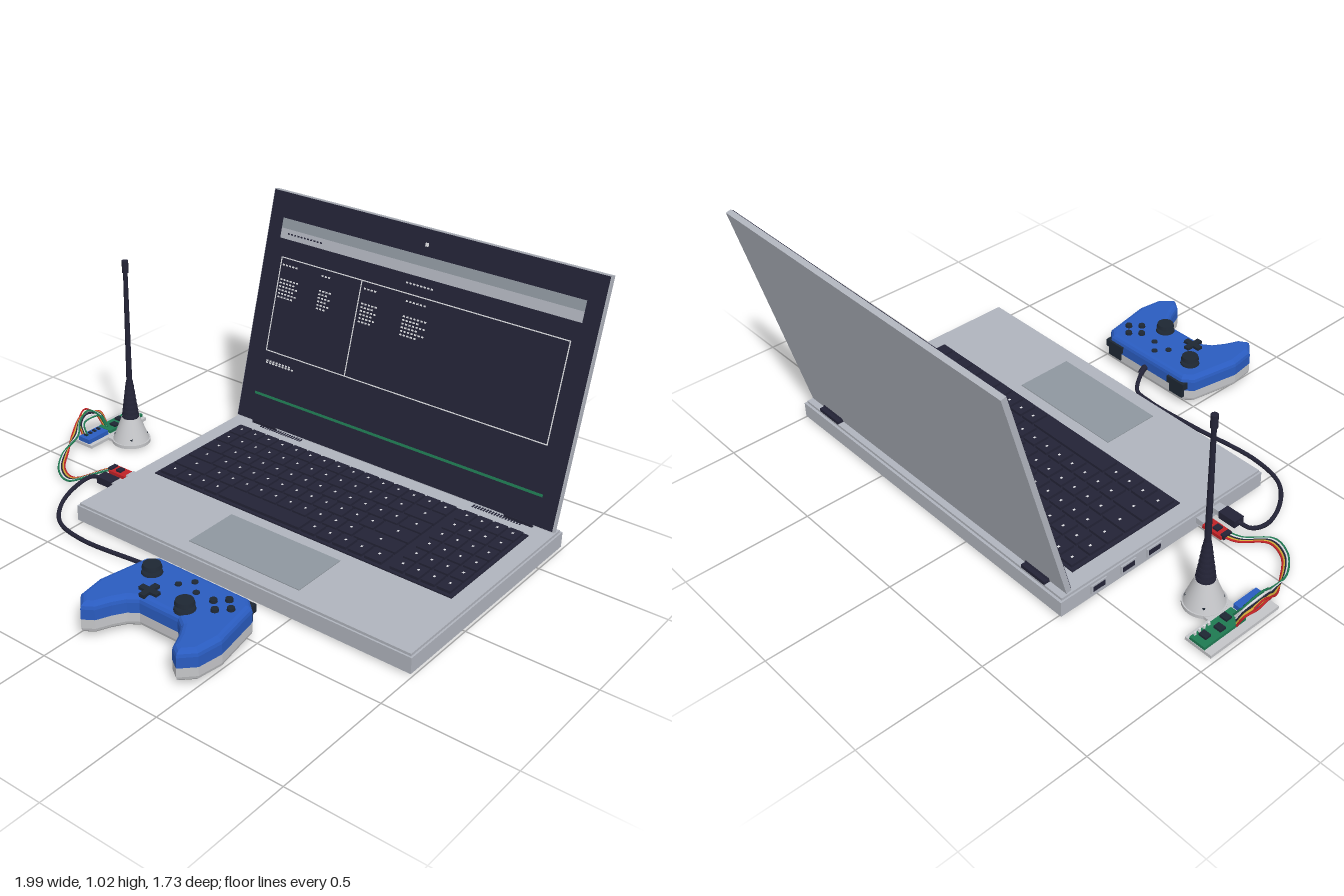
import * as THREE from 'three';

const mat = (name, color, side = THREE.FrontSide) => {
  const m = new THREE.MeshStandardMaterial({ color, side });
  m.name = name;
  return m;
};

export function createModel() {
  const M = {
    silver: mat('silver', 0xb0b4bd), navy: mat('dark navy', 0x232336), pad: mat('touchpad grey', 0x8f979f),
    white: mat('white', 0xdcdde0), green: mat('green', 0x1f7a52), blue: mat('blue', 0x2a5cc0),
    red: mat('red', 0xc02226), yellow: mat('yellow', 0xd0a838), slate: mat('slate', 0x1e2733),
    grey: mat('light grey', 0xc4c5c8),
  };
  const root = new THREE.Group();
  root.name = 'laptopDesk';
  const group = (name, parent = root) => {
    const g = new THREE.Group();
    g.name = name;
    parent.add(g);
    return g;
  };
  const add = (parent, name, geo, m, x = 0, y = 0, z = 0) => {
    const mesh = new THREE.Mesh(geo, m);
    mesh.name = name;
    mesh.position.set(x, y, z);
    parent.add(mesh);
    return mesh;
  };
  // Box given by its limits on each axis
  const box = (parent, name, m, x0, x1, y0, y1, z0, z1) =>
    add(parent, name, new THREE.BoxGeometry(x1 - x0, y1 - y0, z1 - z0), m, (x0 + x1) / 2, (y0 + y1) / 2, (z0 + z1) / 2);
  const cyl = (parent, name, m, rTop, rBottom, x, y0, y1, z, sides = 24) =>
    add(parent, name, new THREE.CylinderGeometry(rTop, rBottom, y1 - y0, sides), m, x, (y0 + y1) / 2, z);
  const tube = (parent, name, m, pts, r, n = 80) =>
    add(parent, name, new THREE.TubeGeometry(new THREE.CatmullRomCurve3(pts.map(p => new THREE.Vector3(...p))), n, r, 8), m);

  // Laptop base
  const laptop = group('laptop');
  box(laptop, 'baseTray', M.silver, -0.515, 0.995, 0.007, 0.07, -0.67, 0.325);
  box(laptop, 'deck', M.silver, -0.508, 0.988, 0.07, 0.08, -0.66, 0.318);
  box(laptop, 'touchpad', M.pad, -0.01, 0.49, 0.079, 0.083, 0.02, 0.26);
  box(laptop, 'keyboardTray', M.navy, -0.44, 0.92, 0.079, 0.085, -0.55, 0.03 - 0.06);

  // Keyboard rows: relative key widths, then a four-column number pad
  const keys = group('keyboard', laptop);
  const rows = [
    Array(15).fill(1), [...Array(13).fill(1), 2], [1.5, ...Array(12).fill(1), 1.5],
    [1.8, ...Array(11).fill(1), 2.2], [2.3, ...Array(10).fill(1), 2.7], [1.2, 1, 1, 1, 5.6, 1, 1, 1, 1, 1.2],
  ];
  const key = (x0, x1, z0, z1) => {
    const g = 0.005;
    box(keys, 'key', M.navy, x0 + g, x1 - g, 0.085, 0.096, z0 + g, z1 - g);
    if (x1 - x0 < 0.3) box(keys, 'keyMark', M.white, (x0 + x1) / 2 - 0.004, (x0 + x1) / 2 + 0.004, 0.096, 0.0965, (z0 + z1) / 2 - 0.012, (z0 + z1) / 2 - 0.002);
  };
  rows.forEach((row, r) => {
    const z0 = -0.545 + r * 0.0842, unit = 1.055 / row.reduce((a, b) => a + b);
    let x = -0.43;
    for (const w of row) {
      key(x, x + w * unit, z0, z0 + 0.0842);
      x += w * unit;
    }
    for (let c = 0; c < 4; c++) key(0.65 + c * 0.065, 0.715 + c * 0.065, z0, z0 + 0.0842);
  });

  // Vents and hinges, one pair
  for (const s of [-1, 1]) {
    const cx = 0.24 + s * 0.51;
    for (let i = 0; i < 18; i++) box(laptop, 'ventSlot', M.navy, cx - 0.1 + i * 0.0118, cx - 0.094 + i * 0.0118, 0.079, 0.082, -0.618, -0.598);
    const hx = 0.24 + s * 0.6;
    const hinge = add(laptop, 'hinge', new THREE.CylinderGeometry(0.014, 0.014, 0.12, 16), M.navy, hx, 0.088, -0.63);
    hinge.rotation.z = Math.PI / 2;
    box(laptop, 'hingePlate', M.navy, hx - 0.06, hx + 0.06, 0.078, 0.092, -0.66, -0.61);
  }
  // Ports on the side
  for (const z of [-0.5, -0.36, -0.235]) {
    box(laptop, 'portRim', M.silver, -0.52, -0.514, 0.025, 0.06, z - 0.036, z + 0.036);
    box(laptop, 'portSlot', M.navy, -0.522, -0.519, 0.032, 0.053, z - 0.028, z + 0.028);
  }

  // Lid, tilted back
  const lid = group('lid', laptop);
  lid.position.set(0, 0.088, -0.612);
  lid.rotation.x = -0.2526;
  box(lid, 'lidShell', M.silver, -0.505, 0.985, 0, 0.962, -0.024, -0.002);
  box(lid, 'screen', M.navy, -0.5, 0.98, 0.004, 0.958, -0.002, 0.002);
  // Screen details are given by their upright height
  const k = 1 / Math.cos(0.2526);
  const plate = (name, m, x0, x1, y0, y1, t = 0.004) =>
    box(lid, name, m, x0, x1, (y0 - 0.088) * k, (y1 - 0.088) * k, 0.001, t);
  plate('titleBar', M.pad, -0.435, 0.915, 0.878, 0.917);
  plate('menuBar', M.silver, -0.435, 0.915, 0.838, 0.878);
  plate('statusLine', M.green, -0.43, 0.915, 0.201, 0.211);
  plate('webcam', M.white, 0.232, 0.246, 0.952, 0.966);
  for (const y of [0.388, 0.766]) plate('frameEdge', M.white, -0.41, 0.89, y - 0.002, y + 0.002);
  for (const x of [-0.41, -0.016, 0.888]) plate('frameEdge', M.white, x - 0.002, x + 0.002, 0.388, 0.766);
  // Rows of short dashes on the screen
  const dashes = (x, y, length, m = M.white) => {
    for (let i = 0; i * 0.016 < length; i++)
      plate('dash', m, x + i * 0.016, x + i * 0.016 + 0.009, y - 0.003, y + 0.003, 0.0045);
  };
  dashes(-0.4, 0.86, 0.17, M.navy);
  dashes(0.18, 0.805, 0.12);
  dashes(-0.4, 0.348, 0.12);
  dashes(-0.4, 0.34, 0.14);
  for (const [x, w] of [[-0.4, 0.09], [-0.205, 0.06], [0, 0.07], [0.195, 0.1]]) {
    dashes(x, 0.738, w * 0.8);
    for (let i = 0; i < 6; i++) dashes(x, 0.68 - i * 0.014, w * (i % 2 ? 0.75 : 1));
  }

  // Gamepad: half outline mirrored around x = 0.24
  const pad = group('gamepad');
  const half = [[0, 0.465], [0.2, 0.465], [0.24, 0.5], [0.276, 0.7], [0.262, 0.8], [0.212, 0.852], [0.172, 0.825],
    [0.148, 0.77], [0.12, 0.725], [0.085, 0.7]];
  const outline = new THREE.Shape([...half, ...half.slice(1).reverse().map(([x, z]) => [-x, z])]
    .map(([x, z]) => new THREE.Vector2(0.24 + x, -z)));
  const shell = (name, m, y0, y1, bevel) => {
    const geo = new THREE.ExtrudeGeometry(outline, {
      depth: y1 - y0, bevelEnabled: true, bevelThickness: bevel, bevelSize: 0.022, bevelOffset: -0.022, bevelSegments: 3,
    });
    geo.rotateX(-Math.PI / 2);
    add(pad, name, geo, m, 0, y0, 0);
  };
  shell('upperShell', M.blue, 0.075, 0.115, 0.024);
  shell('lowerShell', M.grey, 0.04, 0.075, 0.022);
  for (const s of [-1, 1]) {
    box(pad, 'bumper', M.slate, 0.24 + s * 0.175 - 0.045, 0.24 + s * 0.175 + 0.045, 0.085, 0.115, 0.455, 0.492);
    box(pad, 'trigger', M.slate, 0.24 + s * 0.175 - 0.035, 0.24 + s * 0.175 + 0.035, 0.045, 0.085, 0.46, 0.49);
  }
  for (const [x, z] of [[0.085, 0.56], [0.315, 0.652]]) {
    cyl(pad, 'stickCollar', M.slate, 0.036, 0.04, x, 0.135, 0.146, z);
    cyl(pad, 'stickPost', M.slate, 0.016, 0.02, x, 0.14, 0.162, z);
    cyl(pad, 'stickCap', M.slate, 0.032, 0.036, x, 0.16, 0.174, z);
  }
  box(pad, 'crossPad', M.slate, 0.12, 0.2, 0.136, 0.15, 0.643, 0.667);
  box(pad, 'crossPad', M.slate, 0.148, 0.172, 0.136, 0.15, 0.615, 0.695);
  for (const [x, z] of [[0.362, 0.562], [0.4, 0.525], [0.438, 0.562], [0.4, 0.6]]) cyl(pad, 'actionButton', M.slate, 0.013, 0.015, x, 0.136, 0.15, z, 16);
  for (const [x, z] of [[0.24, 0.515], [0.205, 0.56], [0.285, 0.56]]) cyl(pad, 'menuButton', M.slate, 0.012, 0.013, x, 0.136, 0.144, z, 16);
  tube(pad, 'cableRelief', M.navy, [[0.24, 0.085, 0.475], [0.24, 0.08, 0.455], [0.238, 0.065, 0.435]], 0.013, 10);
  tube(pad, 'cable', M.navy, [[0.24, 0.085, 0.46], [0.237, 0.05, 0.43], [0.22, 0.012, 0.4], [0.13, 0.009, 0.385], [-0.1, 0.009, 0.395],
    [-0.4, 0.009, 0.42], [-0.55, 0.009, 0.385], [-0.64, 0.012, 0.29], [-0.684, 0.02, 0.17], [-0.67, 0.038, 0.095], [-0.62, 0.045, 0.082]], 0.0085, 120);
  box(pad, 'cablePlug', M.navy, -0.628, -0.55, 0.03, 0.06, 0.058, 0.106);
  box(pad, 'plugShell', M.silver, -0.55, -0.51, 0.034, 0.056, 0.062, 0.102);

  // Plug-in adapter
  const adapter = group('adapter');
  box(adapter, 'adapterBoard', M.red, -0.64, -0.55, 0.034, 0.048, -0.026, 0.026);
  box(adapter, 'adapterChip', M.navy, -0.612, -0.588, 0.048, 0.056, -0.014, 0.014);
  box(adapter, 'adapterPlug', M.silver, -0.55, -0.51, 0.032, 0.056, -0.022, 0.022);
  box(adapter, 'pinHeader', M.navy, -0.65, -0.632, 0.036, 0.054, -0.02, 0.02);

  // Antenna with its base plate
  const antenna = group('antenna');
  cyl(antenna, 'basePlate', M.grey, 0.08, 0.08, -0.795, 0.008, 0.022, -0.27, 32);
  box(antenna, 'plateArm', M.grey, -0.9, -0.8, 0.008, 0.02, -0.33, -0.21);
  box(antenna, 'boardPlate', M.grey, -0.988, -0.87, 0.008, 0.021, -0.442, -0.11);
  cyl(antenna, 'baseCone', M.grey, 0.037, 0.075, -0.795, 0.022, 0.12, -0.27, 32);
  cyl(antenna, 'flexSleeve', M.navy, 0.014, 0.035, -0.795, 0.12, 0.285, -0.27);
  for (let i = 0; i < 7; i++) cyl(antenna, 'sleeveRib', M.navy, 0.034 - i * 0.0028, 0.036 - i * 0.0028, -0.795, 0.13 + i * 0.021, 0.138 + i * 0.021, -0.27);
  cyl(antenna, 'rod', M.navy, 0.009, 0.012, -0.795, 0.28, 0.765, -0.27, 16);
  cyl(antenna, 'tip', M.navy, 0.013, 0.013, -0.795, 0.76, 0.81, -0.27, 16);
  for (const a of [0.8, 2.4, 4, 5.5]) cyl(antenna, 'screw', M.slate, 0.007, 0.007, -0.795 + 0.062 * Math.cos(a), 0.022, 0.045, -0.27 + 0.062 * Math.sin(a), 10);

  // Circuit boards
  const boards = group('circuitBoards');
  box(boards, 'radioBoard', M.green, -0.957, -0.888, 0.021, 0.033, -0.44, -0.24);
  box(boards, 'sensorBoard', M.blue, -0.947, -0.888, 0.021, 0.04, -0.228, -0.115);
  for (const [x, z] of [[-0.92, -0.4], [-0.93, -0.34], [-0.91, -0.29]]) box(boards, 'chip', M.slate, x - 0.016, x + 0.016, 0.033, 0.042, z - 0.013, z + 0.013);
  for (let i = 0; i < 4; i++) {
    box(boards, 'pin', M.white, -0.898, -0.892, 0.033, 0.046, -0.425 + i * 0.022, -0.417 + i * 0.022);
    box(boards, 'smallPart', M.slate, -0.935, -0.92, 0.04, 0.046, -0.215 + i * 0.024, -0.205 + i * 0.024);
  }

  // Loose wires from the adapter, looping up over the boards
  [M.red, M.yellow, M.navy, M.white, M.green].forEach((m, i) => {
    const d = (i - 2) * 0.008;
    tube(boards, 'wire', m, [[-0.64, 0.045, d], [-0.68, 0.03, 0.03 + d], [-0.75, 0.01, 0.125 + d], [-0.83, 0.012, 0.1 + d],
      [-0.91, 0.025, 0.0 + d], [-0.95 + d, 0.055, -0.1], [-0.972 + d, 0.095, -0.15 + d], [-0.98 + d * 0.8, 0.105 + d, -0.21 + d],
      [-0.965 + d, 0.08, -0.262 + d], [-0.945 + d, 0.033, -0.275 + d]], 0.004, 70);
    tube(boards, 'jumperWire', m, [[-0.935 + d, 0.035, -0.14], [-0.965 + d, 0.08, -0.15], [-0.978 + d, 0.1 - d, -0.2],
      [-0.965 + d, 0.08, -0.25], [-0.935 + d, 0.033, -0.262]], 0.0035, 30);
  });
  return root;
}
